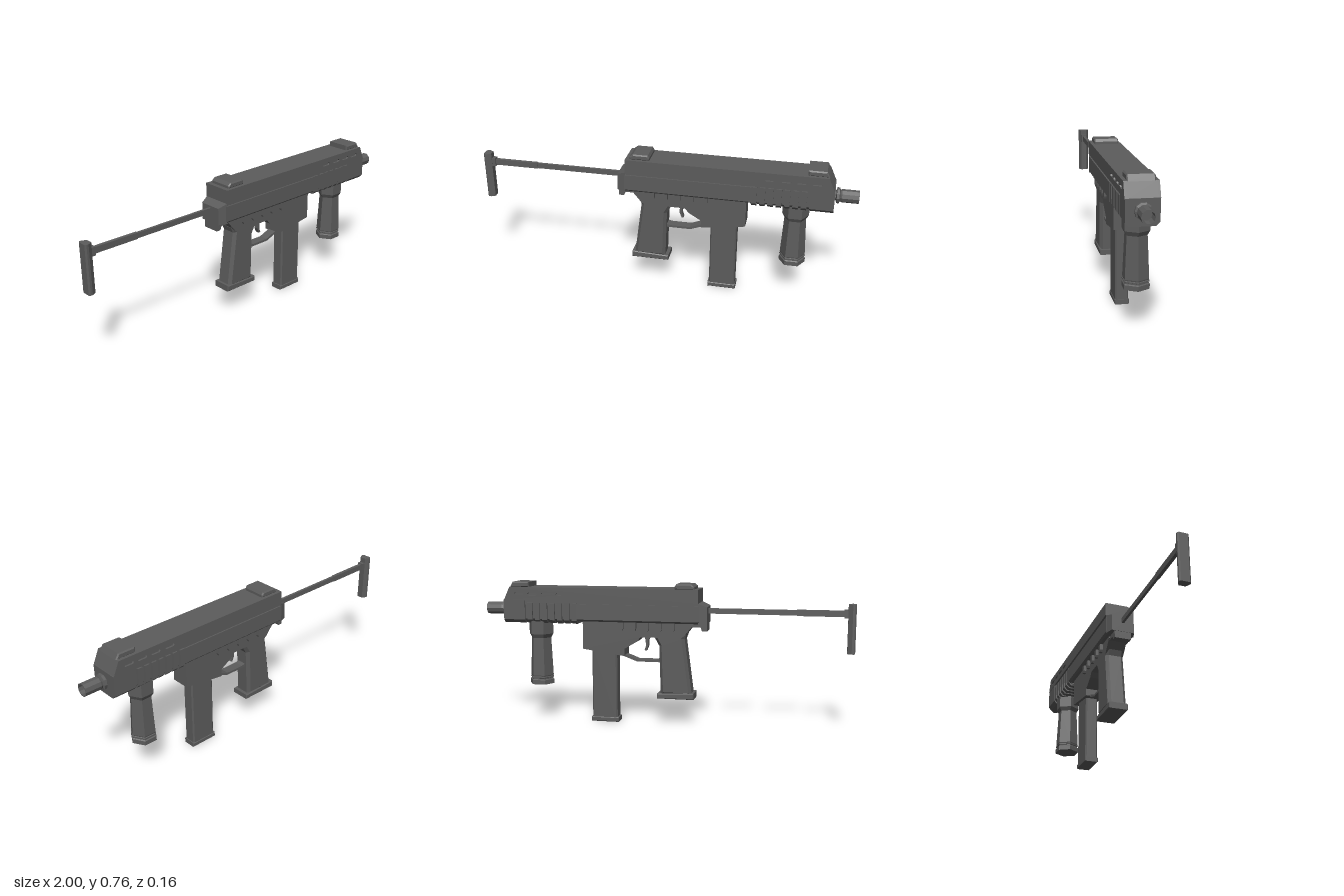
import * as THREE from 'three';

export function createModel() {
  const root = new THREE.Group();
  const gunmetal = new THREE.MeshStandardMaterial({ color: 0x5c5c5c, flatShading: true });
  gunmetal.name = 'gunmetal';

  function add(name, geo, x = 0, y = 0, z = 0, parent = root) {
    const m = new THREE.Mesh(geo, gunmetal);
    m.name = name;
    m.position.set(x, y, z);
    parent.add(m);
    return m;
  }
  const toShape = pts => new THREE.Shape(pts.map(p => new THREE.Vector2(...p)));

  // Box given by its limits
  function box(name, x0, x1, y0, y1, z0, z1, parent) {
    return add(name, new THREE.BoxGeometry(x1 - x0, y1 - y0, z1 - z0),
      (x0 + x1) / 2, (y0 + y1) / 2, (z0 + z1) / 2, parent);
  }
  // Side outline extruded to z = +-half, with an optional chamfer
  function slab(name, pts, half, chamfer = 0, parent = root) {
    const geo = new THREE.ExtrudeGeometry(toShape(pts), {
      depth: 2 * (half - chamfer), bevelEnabled: chamfer > 0, bevelSegments: 1,
      bevelSize: chamfer, bevelThickness: chamfer, bevelOffset: -chamfer, curveSegments: 4,
    });
    geo.translate(0, 0, chamfer - half);
    return add(name, geo, 0, 0, 0, parent);
  }
  // Cross-section in (z, y) extruded from x0 to x1
  function bar(name, pts, x0, x1, parent) {
    const geo = new THREE.ExtrudeGeometry(toShape(pts), { depth: x1 - x0, bevelEnabled: false });
    geo.rotateY(Math.PI / 2);
    return add(name, geo, x0, 0, 0, parent);
  }
  // Section with chamfered lower corners
  const section = (w, top, bottom, c) =>
    [[-w + c, bottom], [w - c, bottom], [w, bottom + c], [w, top], [-w, top], [-w, bottom + c]];

  // Upper cover: core plus side panels pierced by vent slots
  const cover = [[-0.195, 0.662], [0.878, 0.662], [0.845, 0.735], [-0.195, 0.735]];
  slab('upperCore', cover, 0.07);
  const panel = toShape(cover);
  for (const x of [0.553, 0.636, 0.714, 0.79]) {
    const hole = new THREE.Path();
    hole.moveTo(x - 0.022, 0.691);
    hole.lineTo(x + 0.02, 0.691);
    hole.lineTo(x + 0.028, 0.698);
    hole.lineTo(x + 0.022, 0.706);
    hole.lineTo(x - 0.02, 0.706);
    hole.lineTo(x - 0.028, 0.699);
    panel.holes.push(hole);
  }
  for (const z of [0.07, -0.08]) {
    add('upperSidePanel', new THREE.ExtrudeGeometry(panel, { depth: 0.01, bevelEnabled: false }), 0, 0, z);
  }

  // Lower receiver with a recessed band under the cover
  box('grooveBand', -0.195, 0.878, 0.64, 0.665, -0.07, 0.07);
  bar('lowerReceiver', section(0.077, 0.648, 0.555, 0.01), -0.2, 0.47);

  // Tapered rear cap
  const cap = new THREE.BoxGeometry(0.045, 0.108, 0.154);
  const p = cap.attributes.position;
  for (let i = 0; i < p.count; i++) {
    if (p.getX(i) < 0) {
      p.setZ(i, p.getZ(i) * 0.8);
      if (p.getY(i) > 0) p.setY(i, 0.035);
    }
  }
  cap.computeVertexNormals();
  add('rearCap', cap, -0.2175, 0.609, 0);
  slab('rearLug', [[-0.238, 0.515], [-0.212, 0.515], [-0.205, 0.535], [-0.16, 0.535], [-0.16, 0.565], [-0.238, 0.565]], 0.045);

  // Handguard with vertical ribs and a solid nose block
  const handguard = new THREE.Group();
  handguard.name = 'handguard';
  root.add(handguard);
  bar('handguardCore', section(0.069, 0.65, 0.545, 0.018), 0.46, 0.87, handguard);
  for (let i = 0; i < 7; i++) {
    const x = 0.465 + i * 0.042;
    bar('handguardRib', section(0.078, 0.65, 0.54, 0.018), x, x + 0.028, handguard);
  }
  bar('handguardNose', section(0.078, 0.665, 0.54, 0.018), 0.759, 0.88, handguard);

  // Sight blocks on top
  slab('rearSight', [[-0.172, 0.733], [-0.068, 0.733], [-0.068, 0.748], [-0.076, 0.762], [-0.155, 0.762], [-0.172, 0.748]], 0.065, 0.006);
  slab('frontSight', [[0.74, 0.733], [0.848, 0.733], [0.832, 0.762], [0.74, 0.762]], 0.065, 0.006);

  // Hollow muzzle with collar
  const muzzle = new THREE.LatheGeometry([
    [0, 0], [0.026, 0], [0.026, 0.015], [0.041, 0.019], [0.041, 0.032], [0.03, 0.036],
    [0.034, 0.045], [0.034, 0.13], [0.029, 0.13], [0.029, 0.07], [0, 0.07],
  ].map(q => new THREE.Vector2(...q)), 10);
  muzzle.rotateZ(-Math.PI / 2);
  add('muzzle', muzzle, 0.87, 0.612, 0);

  // Frame, magazine well and guard opening outline
  slab('lowerFrame', [
    [-0.165, 0.545], [-0.115, 0.485], [-0.1, 0.475], [0.12, 0.475], [0.14, 0.45], [0.208, 0.41],
    [0.208, 0.37], [0.44, 0.403], [0.44, 0.565], [-0.165, 0.565],
  ], 0.05);

  // Side fins below the receiver
  for (let i = 0; i < 5; i++) {
    const x = -0.055 + i * 0.07;
    for (const s of [1, -1]) {
      const fin = slab('sideFin', [[x - 0.013, 0.522], [x - 0.008, 0.51], [x + 0.008, 0.51],
        [x + 0.013, 0.522], [x + 0.013, 0.565], [x - 0.013, 0.565]], 0.009);
      fin.position.z = s * 0.056;
    }
  }

  // Pistol grip
  slab('pistolGrip', [
    [-0.158, 0.165], [0.012, 0.165], [0.02, 0.43], [0.045, 0.475], [0.045, 0.5], [-0.13, 0.5], [-0.118, 0.47],
  ], 0.05, 0.016);
  slab('gripBase', [[-0.17, 0.145], [0.03, 0.145], [0.03, 0.172], [-0.16, 0.179], [-0.17, 0.179]], 0.052, 0.004);

  // Trigger and its guard
  slab('trigger', [
    [0.068, 0.48], [0.105, 0.48], [0.1, 0.45], [0.098, 0.425], [0.106, 0.4], [0.096, 0.397], [0.084, 0.425], [0.085, 0.455],
  ], 0.012);
  slab('triggerGuard', [
    [0.0, 0.339], [0.145, 0.339], [0.215, 0.365], [0.215, 0.379], [0.142, 0.351], [0.04, 0.351], [0.0, 0.36],
  ], 0.025);

  // Magazine
  slab('magazine', [[0.255, 0.01], [0.395, 0.01], [0.395, 0.42], [0.255, 0.42]], 0.034, 0.007);
  slab('magazineBase', [[0.248, 0], [0.4, 0], [0.4, 0.026], [0.248, 0.026]], 0.037, 0.004);

  // Six-sided foregrip
  const foregrip = new THREE.LatheGeometry([
    [0, 0.198], [0.069, 0.198], [0.069, 0.222], [0.063, 0.226], [0.063, 0.232], [0.068, 0.234],
    [0.068, 0.239], [0.064, 0.241], [0.066, 0.247], [0.056, 0.455], [0.069, 0.477], [0.069, 0.55],
  ].map(q => new THREE.Vector2(...q)), 6);
  foregrip.rotateY(Math.PI / 6 + Math.PI / 3);
  add('foregrip', foregrip, 0.692, 0, -0.009);

  // Telescoping stock
  box('stockRod', -0.96, -0.22, 0.606, 0.634, -0.007, 0.007);
  box('stockRodSleeve', -0.95, -0.7, 0.604, 0.636, -0.009, 0.009);
  box('stockConnector', -0.97, -0.94, 0.598, 0.642, -0.016, 0.016);
  const plan = toShape([[-1, -0.022], [-0.993, -0.029], [-0.982, -0.029], [-0.96, -0.017],
    [-0.96, 0.017], [-0.982, 0.029], [-0.993, 0.029], [-1, 0.022]]);
  const butt = new THREE.ExtrudeGeometry(plan, { depth: 0.255, bevelEnabled: false });
  butt.rotateX(-Math.PI / 2);
  add('stockButt', butt, 0, 0.415, 0);

  return root;
}
